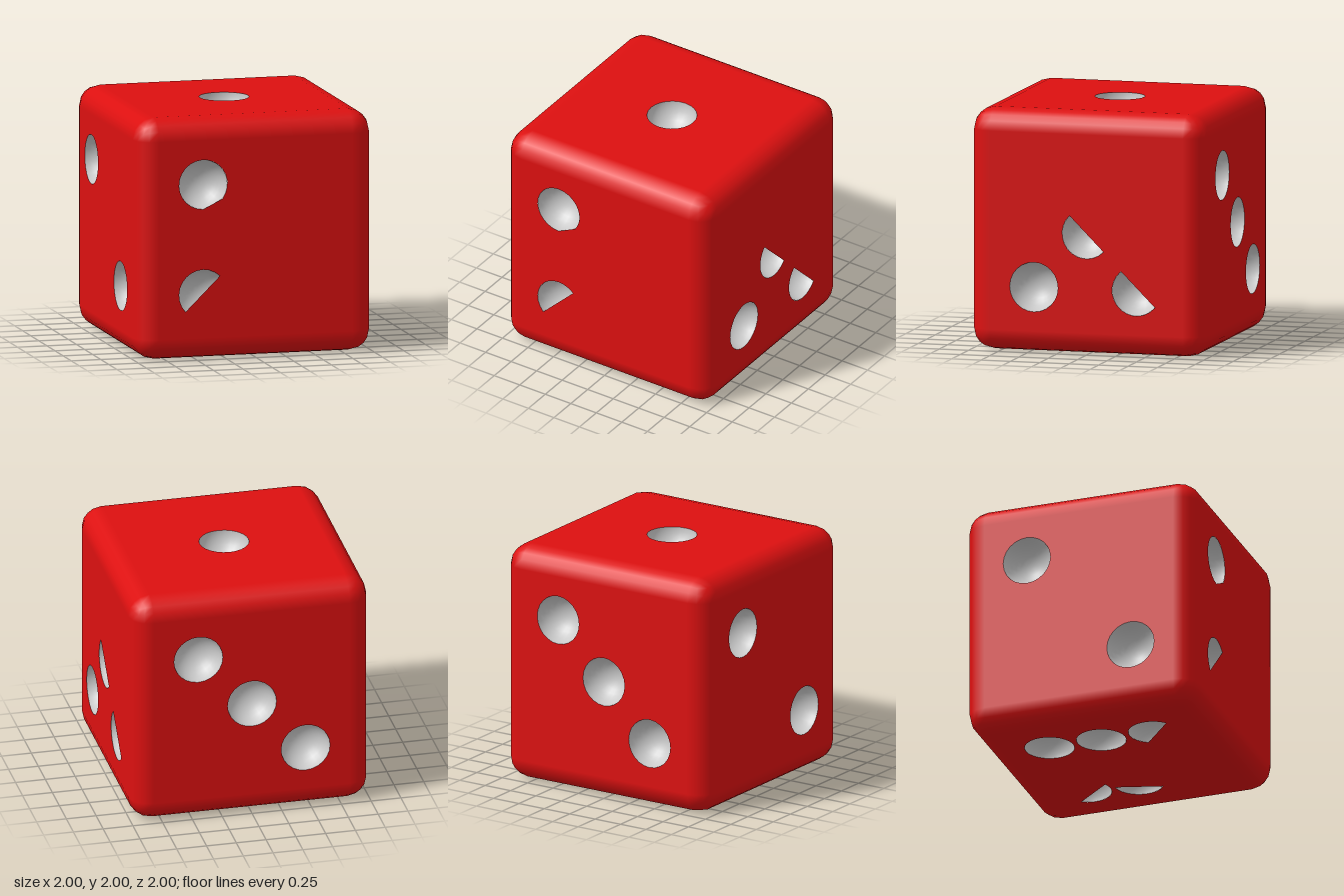
import * as THREE from 'three';
import { RoundedBoxGeometry } from 'three/addons/geometries/RoundedBoxGeometry.js';

const EDGE = 0.18;          // radius of the rounded edges
const FLAT = 1 - EDGE;      // half width of the flat part of a side
const PIP = 0.205;          // pip radius
const rad = THREE.MathUtils.degToRad;

// Rounded shell with its six flat panels taken out
function edgeGeometry() {
  const box = new RoundedBoxGeometry(2, 2, 2, 2, EDGE);
  const source = box.index ? box.toNonIndexed() : box;
  const p = source.attributes.position;
  const n = source.attributes.normal;
  const positions = [];
  const normals = [];
  for (let i = 0; i < p.count; i += 3) {
    const corners = [i, i + 1, i + 2];
    const flat = [0, 1, 2].some((axis) =>
      corners.every((c) => Math.abs(p.getComponent(c, axis)) > 0.9999));
    if (flat) continue;
    for (const c of corners) {
      positions.push(p.getX(c), p.getY(c), p.getZ(c));
      normals.push(n.getX(c), n.getY(c), n.getZ(c));
    }
  }
  const geometry = new THREE.BufferGeometry();
  geometry.setAttribute('position', new THREE.Float32BufferAttribute(positions, 3));
  geometry.setAttribute('normal', new THREE.Float32BufferAttribute(normals, 3));
  return geometry;
}

// Opening of a pip: the arc from one angle to another, closed by a chord
function pipOpening([u, v, from = 0, to = 360]) {
  const steps = Math.ceil((to - from) / 15);
  const count = to - from === 360 ? steps : steps + 1;
  const points = [];
  for (let i = 0; i < count; i++) {
    const a = rad(from + ((to - from) * i) / steps);
    points.push(new THREE.Vector2(u + PIP * Math.cos(a), v + PIP * Math.sin(a)));
  }
  return new THREE.Path(points);
}

// Each side: turn about x and y, then pips as [u, v, start angle, end angle]
const SIDES = [
  { name: 'front', turn: [0, 0], pips: [[-0.45, 0.455, -37, 270], [-0.45, -0.455, 46, 223]] },
  { name: 'left', turn: [0, 90], pips: [[-0.445, -0.455], [0, 0, 134, 316], [0.425, -0.455, 129, 321]] },
  { name: 'back', turn: [0, 180], pips: [[-0.45, 0.45], [0, 0], [0.45, -0.45]] },
  { name: 'right', turn: [0, -90], pips: [[-0.45, 0.45], [0.45, -0.45]] },
  { name: 'top', turn: [-90, 0], pips: [[0, 0]] },
  {
    name: 'bottom', turn: [90, 0],
    pips: [[-0.45, -0.45], [-0.45, 0], [-0.45, 0.45, 129, 329], [0.45, -0.45, -33, 113], [0.45, 0, -90, 57]],
  },
];

export function createModel() {
  const red = new THREE.MeshStandardMaterial({ color: 0xdd1010 });
  const grey = new THREE.MeshStandardMaterial({ color: 0xcccccc, side: THREE.DoubleSide });

  const die = new THREE.Group();
  die.name = 'die';
  const add = (parent, name, geometry, material) => {
    const mesh = new THREE.Mesh(geometry, material);
    mesh.name = name;
    parent.add(mesh);
    return mesh;
  };

  add(die, 'roundedEdges', edgeGeometry(), red).position.y = 1;

  // Hemispherical hollow opening towards +z
  const bowl = new THREE.SphereGeometry(PIP, 24, 8, 0, Math.PI * 2, 0, Math.PI / 2);
  bowl.rotateX(-Math.PI / 2);

  for (const { name, turn, pips } of SIDES) {
    const side = new THREE.Group();
    side.name = `${name}Side`;
    side.position.y = 1;
    side.rotation.set(rad(turn[0]), rad(turn[1]), 0);

    // Flat panel pierced by the pips
    const panel = new THREE.Shape([
      new THREE.Vector2(-FLAT, -FLAT), new THREE.Vector2(FLAT, -FLAT),
      new THREE.Vector2(FLAT, FLAT), new THREE.Vector2(-FLAT, FLAT),
    ]);
    panel.holes = pips.map(pipOpening);
    add(side, `${name}Panel`, new THREE.ShapeGeometry(panel), red).position.z = 1;

    // Hollows behind the openings
    for (const [u, v] of pips) {
      add(side, `${name}Pip`, bowl, grey).position.set(u, v, 1);
    }
    die.add(side);
  }
  return die;
}
